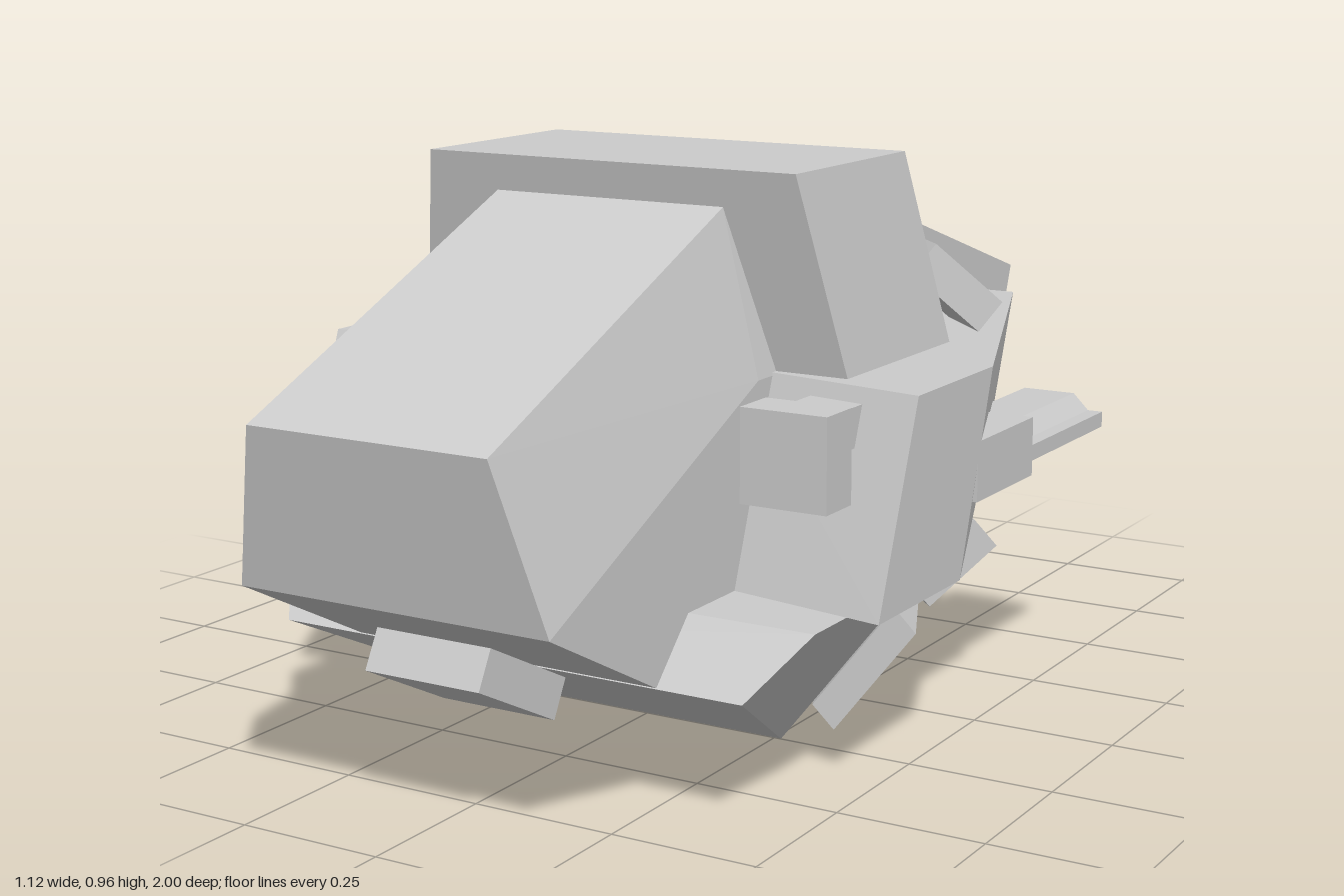
import * as THREE from 'three';
import { ConvexGeometry } from 'three/addons/geometries/ConvexGeometry.js';

const material = new THREE.MeshStandardMaterial({ color: 0xcccccc, flatShading: true });

export function createModel() {
  const group = new THREE.Group();

  const add = (name, geometry) => {
    const mesh = new THREE.Mesh(geometry, material);
    mesh.name = name;
    group.add(mesh);
  };
  // Faceted solid around a set of corners
  const solid = (name, points) =>
    add(name, new ConvexGeometry(points.map(p => new THREE.Vector3(...p))));
  const flip = points => points.map(([x, y, z]) => [-x, y, z]);
  // One solid spanning both halves
  const symmetric = (name, points) => solid(name, [...points, ...flip(points)]);
  // Two separate solids, left and right
  const pair = (name, points) => {
    solid(name + 'Left', points);
    solid(name + 'Right', flip(points));
  };
  // Corners of a slab: a face plus an offset
  const slab = (face, [dx, dy, dz]) =>
    [...face, ...face.map(([x, y, z]) => [x + dx, y + dy, z + dz])];
  const block = (x0, x1, y0, y1, z0, z1) =>
    slab([[x0, y0, z0], [x1, y0, z0], [x1, y1, z0], [x0, y1, z0]], [0, 0, z1 - z0]);
  // Side profile [z, y] given a width across x
  const profile = (name, halfWidth, outline) =>
    symmetric(name, outline.map(([z, y]) => [halfWidth, y, z]));

  // Main body
  symmetric('nose', [
    [0.215, 0.625, 1], [0.28, 0.36, 0.95], [0.28, 0.212, 0.67],
    [0.215, 0.9, 0.36], [0.28, 0.63, 0.36], [0.28, 0.212, 0.3], [0.28, 0.63, 0.3],
  ]);
  symmetric('upperCabin', [
    [0.347, 0.96, 0.365], [0.347, 0.96, -0.01],
    [0.408, 0.63, 0.3], [0.408, 0.63, -0.07],
  ]);
  profile('rearHull', 0.215, [[0.05, 0.915], [-0.75, 0.66], [-0.6, 0.25], [0.05, 0.25]]);
  symmetric('lowerHull', [
    [0.5, 0.305, 0.575], [0.5, 0.305, 0.235], [0.335, 0.305, -0.12],
    [0.43, 0.21, 0.67], [0.31, 0.035, 0.335], [0.155, 0.035, 0],
  ]);

  // Side pods, tapering to the back
  pair('sidePod', [
    [0.2, 0.635, 0.3], [0.56, 0.635, 0.36], [0.56, 0.635, 0.09],
    [0.29, 0.635, -0.595], [0.2, 0.635, -0.595],
    [0.2, 0.305, 0.42], [0.56, 0.305, 0.485], [0.56, 0.305, 0.2],
    [0.29, 0.305, -0.47], [0.2, 0.305, -0.47],
  ]);

  // Sensor boxes on short stalks in front of the pods
  pair('frontSensor', block(0.33, 0.48, 0.468, 0.62, 0.425, 0.505));
  pair('sensorStalk', block(0.36, 0.46, 0.545, 0.61, 0.3, 0.43));

  // Side guns
  pair('sideGunMount', block(0.38, 0.56, 0.42, 0.52, -0.078, 0.14));
  pair('sideGunLowerBarrel', block(0.41, 0.56, 0.445, 0.472, -0.385, -0.07));
  pair('sideGunUpperBarrel', slab(
    [[0.41, 0.47, -0.385], [0.535, 0.47, -0.385], [0.505, 0.5, -0.385], [0.41, 0.5, -0.385]],
    [0, 0, 0.315]));

  // Tilted rear thrusters, above and below the pods
  const thruster = slab(
    [[0.44, 0.685, -0.21], [0.33, 0.685, -0.32], [0.24, 0.79, -0.24], [0.35, 0.79, -0.13]],
    [-0.03, -0.05, 0.03]);
  const strut = block(0.27, 0.34, 0.62, 0.72, -0.16, -0.05);
  const below = points => points.map(([x, y, z]) => [x, 0.935 - y, z]);
  pair('upperThruster', thruster);
  pair('upperThrusterStrut', strut);
  pair('lowerThruster', below(thruster));
  pair('lowerThrusterStrut', below(strut));

  // Plates on the lower hull sides and under the nose
  pair('hullPlate', slab(
    [[0.45, 0.18, 0.13], [0.36, 0.18, -0.065], [0.24, 0.01, 0], [0.33, 0.01, 0.19]],
    [-0.03, 0.045, 0.02]));
  symmetric('chinBox', slab([[0.105, 0.235, 0.88], [0.105, 0.135, 0.685]], [0, 0.06, -0.032]));

  // Rear-facing gun under the hull
  profile('tailGunMount', 0.03, [[0.05, 0.22], [-0.53, 0.217], [-0.37, 0.06], [0.05, 0.06]]);
  profile('tailGunBarrel', 0.03, [[-0.4, 0.155], [-1, 0.155], [-1, 0.103], [-0.4, 0.103]]);
  profile('tailGunRail', 0.03, [[-0.75, 0.19], [-1, 0.19], [-1, 0.15], [-0.75, 0.15]]);
  profile('tailGunMuzzle', 0.03, [[-0.845, 0.11], [-1, 0.11], [-1, 0.065], [-0.845, 0.065]]);
  profile('tailGunGripJoint', 0.03, [[-0.32, 0.065], [-0.39, 0.09], [-0.46, 0.03], [-0.38, 0]]);
  profile('tailGunLowerBar', 0.03, [[-0.38, 0.03], [-0.78, 0.03], [-0.75, 0], [-0.38, 0]]);

  return group;
}
